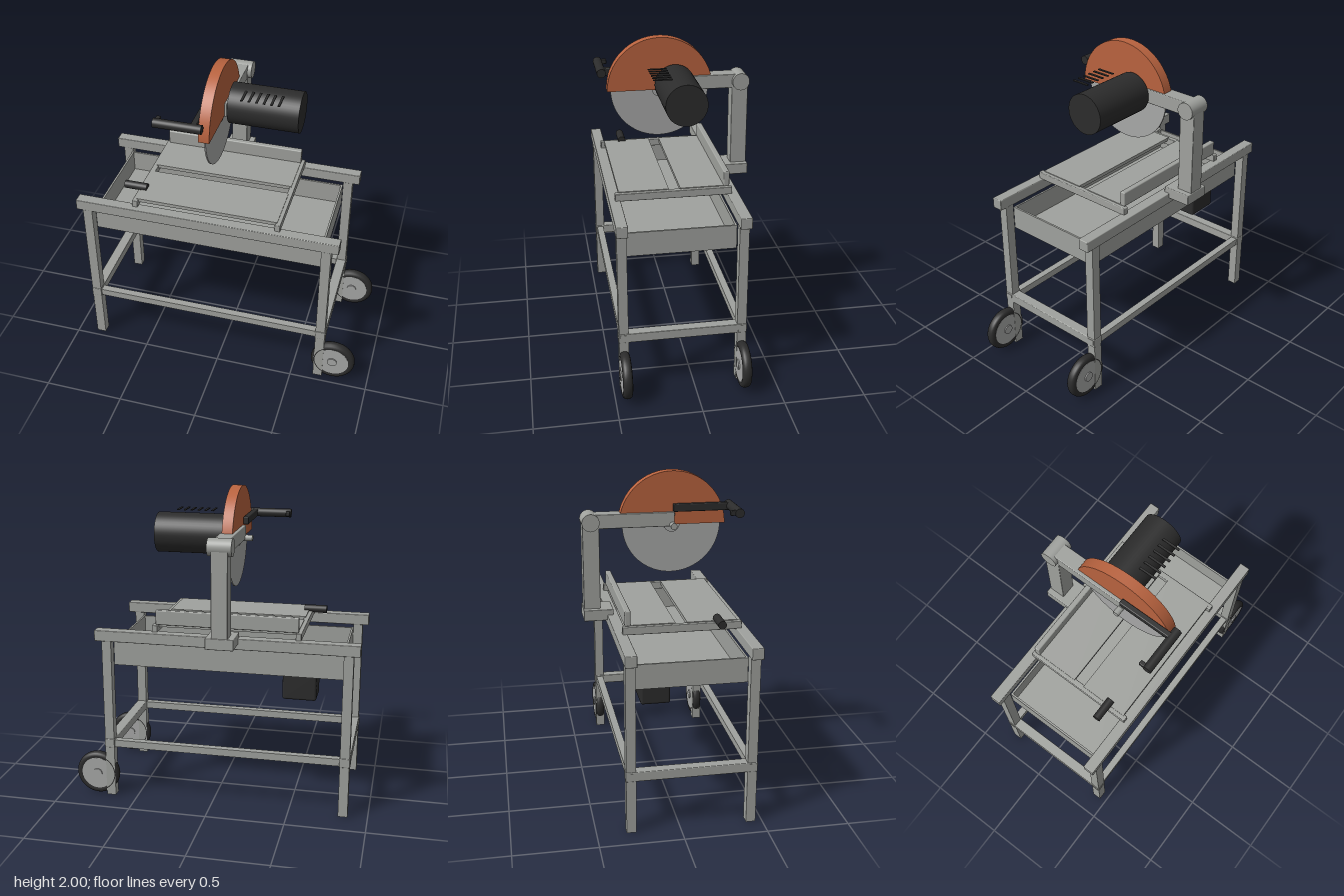
import * as THREE from 'three';
import { toCreasedNormals } from 'three/addons/utils/BufferGeometryUtils.js';
import { RoundedBoxGeometry } from 'three/addons/geometries/RoundedBoxGeometry.js';

const material = (name, color) => {
  const m = new THREE.MeshStandardMaterial({ color });
  m.name = name;
  return m;
};

export function createModel() {
  const frameGrey = material('frame grey', 0xa0a29e);
  const steel = material('steel', 0xa8a9a8);
  const black = material('black', 0x2c2c2c);
  const orange = material('orange', 0xb9633f);

  const model = new THREE.Group();
  model.name = 'tableSaw';

  const add = (name, geometry, mat, x = 0, y = 0, z = 0, parent = model) => {
    const mesh = new THREE.Mesh(geometry, mat);
    mesh.name = name;
    mesh.position.set(x, y, z);
    parent.add(mesh);
    return mesh;
  };
  // Box given by its [min, max] range on each axis
  const box = (name, mat, [x0, x1], [y0, y1], [z0, z1], radius = 0) => {
    const size = [x1 - x0, y1 - y0, z1 - z0];
    const geometry = radius
      ? new RoundedBoxGeometry(...size, 2, radius)
      : new THREE.BoxGeometry(...size);
    return add(name, geometry, mat, (x0 + x1) / 2, (y0 + y1) / 2, (z0 + z1) / 2);
  };
  // Cylinder lying along x
  const rod = (name, mat, r, [x0, x1], y, z, sides = 40) =>
    add(name, new THREE.CylinderGeometry(r, r, x1 - x0, sides).rotateZ(Math.PI / 2), mat, (x0 + x1) / 2, y, z);
  const around = (c, w) => [c - w / 2, c + w / 2];

  const legX = [-0.845, 0.674];
  const sideZ = [0.43, -0.294];

  // Stand: top rails, legs and stretchers
  for (const z of sideZ) {
    box('topRail', frameGrey, [-0.915, 0.75], [1.055, 1.125], around(z, 0.07), 0.005);
    box('longStretcher', frameGrey, [-0.88, 0.709], [0.34, 0.387], around(z, 0.045));
    for (const x of legX) box('leg', frameGrey, around(x, 0.06), [0, 1.06], around(z, 0.058));
  }
  for (const x of legX) {
    box('sideStretcher', frameGrey, around(x, 0.066), [0.335, 0.395], [-0.326, 0.462], 0.005);
  }

  // Wheels
  const tyreProfile = [
    [0.1, -0.024], [0.118, -0.03], [0.134, -0.025], [0.141, -0.014], [0.143, 0],
    [0.141, 0.014], [0.134, 0.025], [0.118, 0.03], [0.1, 0.024],
  ].map(([r, h]) => new THREE.Vector2(r, h));
  for (const z of sideZ) {
    const wheel = new THREE.Group();
    wheel.name = 'wheel';
    wheel.position.set(0.765, 0.146, z);
    wheel.rotation.x = Math.PI / 2;
    model.add(wheel);
    add('tyre', new THREE.LatheGeometry(tyreProfile, 48), black, 0, 0, 0, wheel);
    add('hub', new THREE.CylinderGeometry(0.106, 0.106, 0.054, 48), steel, 0, 0, 0, wheel);
    add('axleCap', new THREE.CylinderGeometry(0.031, 0.031, 0.07, 24), steel, 0, 0, 0, wheel);
  }

  // Open water tray
  const tx = [-0.815, 0.643], ty = [0.885, 1.035], tz = [-0.262, 0.4], wall = 0.012;
  box('trayFloor', frameGrey, tx, [0.885, 0.897], tz);
  box('trayFront', frameGrey, tx, ty, [tz[1] - wall, tz[1]]);
  box('trayBack', frameGrey, tx, ty, [tz[0], tz[0] + wall]);
  box('trayEnd', frameGrey, [tx[0], tx[0] + wall], ty, tz);
  box('trayEnd', frameGrey, [tx[1] - wall, tx[1]], ty, tz);
  box('pump', black, [-0.643, -0.43], [0.71, 0.887], [-0.198, -0.02], 0.014);

  // Sliding cutting table with a slot for the blade
  for (const x of [-0.536, 0.366]) {
    box('slideBar', frameGrey, around(x, 0.035), [1.12, 1.168], [-0.288, 0.428], 0.005);
  }
  box('tablePlateFront', frameGrey, [-0.53, 0.36], [1.15, 1.173], [0.1, 0.405]);
  box('tablePlateBack', frameGrey, [-0.53, 0.36], [1.15, 1.173], [-0.25, 0.03]);
  box('fence', frameGrey, [-0.535, 0.363], [1.168, 1.262], [-0.274, -0.238], 0.007);
  rod('tableHandle', black, 0.025, [-0.645, -0.5], 1.18, 0.287, 24);

  // Column, pivot and swing arm
  box('columnFoot', frameGrey, [-0.172, 0.003], [1.09, 1.16], [-0.474, -0.29], 0.005);
  box('column', frameGrey, [-0.136, -0.034], [1.1, 1.705], [-0.47, -0.366], 0.005);
  rod('pivot', frameGrey, 0.054, [-0.158, -0.01], 1.705, -0.42);
  box('swingArm', frameGrey, [-0.136, -0.036], [1.662, 1.75], [-0.4, 0.1], 0.005);

  // Blade, flanges and axle
  const bladeY = 1.67, bladeZ = 0.087;
  rod('blade', steel, 0.307, around(-0.084, 0.009), bladeY, bladeZ, 80);
  rod('bladeFlange', steel, 0.05, around(-0.084, 0.03), bladeY, bladeZ);
  rod('bladeNut', frameGrey, 0.02, [-0.182, -0.08], bladeY, bladeZ, 20);

  // Half-round blade guard
  const half = new THREE.Shape();
  half.absarc(0, 0, 0.33, 0, Math.PI, false);
  half.closePath();
  const guard = new THREE.ExtrudeGeometry(half, { depth: 0.066, bevelEnabled: false, curveSegments: 48 });
  guard.rotateY(Math.PI / 2);
  add('bladeGuard', toCreasedNormals(guard, 0.5), orange, -0.116, bladeY, bladeZ);

  // Motor with a row of vent slats
  rod('motor', black, 0.126, [-0.03, 0.404], 1.706, -0.002, 48);
  for (let i = 0; i < 6; i++) {
    box('ventSlat', black, around(0.075 + i * 0.0445, 0.014), [1.835, 1.841], [0.065, 0.18]);
  }

  // Operating handle
  box('handleArm', black, around(-0.136, 0.034), [1.754, 1.802], [0.09, 0.45], 0.006);
  rod('handleGrip', black, 0.028, [-0.373, -0.082], 1.779, 0.447, 28);
  box('handleSwitch', black, [-0.37, -0.344], [1.765, 1.795], [0.39, 0.445], 0.005);

  return model;
}
